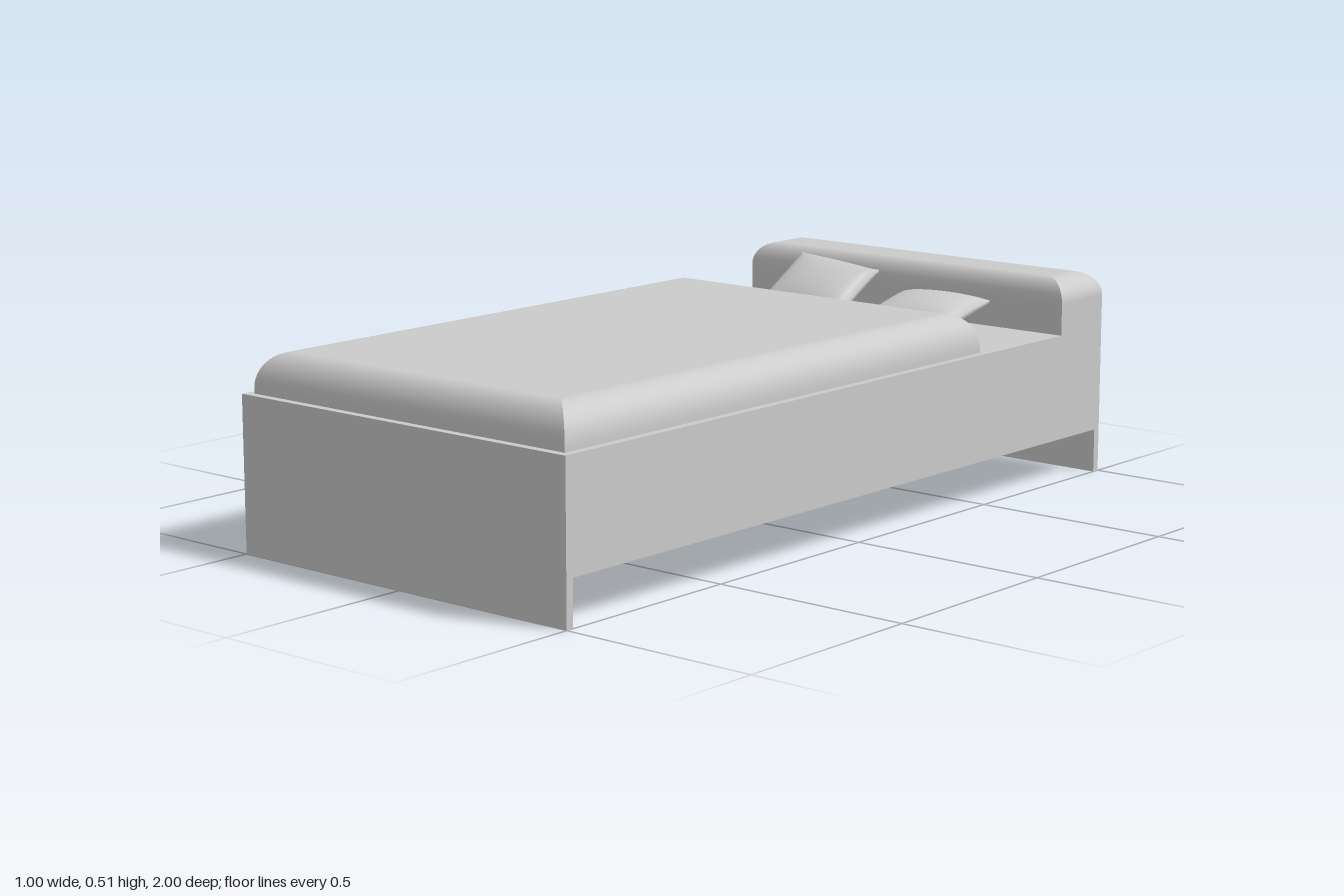
import * as THREE from 'three';
import { mergeVertices } from 'three/addons/utils/BufferGeometryUtils.js';

const material = new THREE.MeshStandardMaterial({ color: 0xcccccc });

function addMesh(parent, name, geometry) {
  const mesh = new THREE.Mesh(geometry, material);
  mesh.name = name;
  parent.add(mesh);
  return mesh;
}

// Plain box given by its lower and upper corners
function addBox(parent, name, [x0, y0, z0], [x1, y1, z1]) {
  const geo = new THREE.BoxGeometry(x1 - x0, y1 - y0, z1 - z0);
  geo.translate((x0 + x1) / 2, (y0 + y1) / 2, (z0 + z1) / 2);
  return addMesh(parent, name, geo);
}

// Box whose sides curve in towards the top, with mitred corners
function paddedBlock(width, height, depth, rx, ry, rz) {
  const rows = 13;
  const geo = new THREE.BoxGeometry(width, height, depth, 1, rows, 1);
  const pos = geo.attributes.position;
  for (let i = 0; i < pos.count; i++) {
    const row = Math.round((pos.getY(i) / height + 0.5) * rows);
    // Row 0 is the foot; the others follow a quarter ellipse
    const a = Math.max(0, (row - 1) / (rows - 1)) * Math.PI / 2;
    const inset = 1 - Math.cos(a);
    const y = row === 0 ? 0 : height - ry + ry * Math.sin(a);
    pos.setXYZ(i,
      Math.sign(pos.getX(i)) * (width / 2 - rx * inset),
      y,
      Math.sign(pos.getZ(i)) * (depth / 2 - rz * inset));
  }
  geo.computeVertexNormals();
  return geo;
}

// Soft cushion: full in the middle, thin at the seam, edges drawn in
function pillowGeometry(width, thickness, depth) {
  let geo = new THREE.BoxGeometry(2, 2, 2, 20, 1, 20);
  const pos = geo.attributes.position;
  for (let i = 0; i < pos.count; i++) {
    const u = pos.getX(i), v = pos.getZ(i);
    const puff = Math.pow(Math.max(0, (1 - u * u) * (1 - v * v)), 0.45);
    pos.setXYZ(i,
      width / 2 * u * (1 - 0.05 * (1 - v * v)),
      Math.sign(pos.getY(i)) * thickness / 2 * (0.12 + 0.88 * puff),
      depth / 2 * v * (1 - 0.05 * (1 - u * u)));
  }
  geo.deleteAttribute('normal');
  geo.deleteAttribute('uv');
  geo = mergeVertices(geo, 1e-5);
  geo.computeVertexNormals();
  return geo;
}

export function createModel() {
  const bed = new THREE.Group();
  bed.name = 'bed';

  // Frame and the two full-width end panels it stands on
  addBox(bed, 'bedBase', [-0.5, 0.11, -0.82], [0.5, 0.375, 0.98]);
  addBox(bed, 'footPanel', [-0.5, 0, 0.98], [0.5, 0.375, 1]);
  addBox(bed, 'headPanel', [-0.5, 0, -1], [0.5, 0.11, -0.98]);

  // Thick rounded headboard
  const headboard = addMesh(bed, 'headboard', paddedBlock(1, 0.405, 0.18, 0.065, 0.06, 0.04));
  headboard.position.set(0, 0.11, -0.91);

  // Duvet over the lower three quarters
  const duvet = addMesh(bed, 'duvet', paddedBlock(0.96, 0.097, 1.48, 0.07, 0.085, 0.065));
  duvet.position.set(0, 0.375, 0.24);

  // One pillow leans on the headboard, the other lies nearly flat
  const pillows = [
    ['rightPillow', [-0.2, 0.437, -0.732], [0.56, -0.02, -0.1]],
    ['leftPillow', [0.168, 0.42, -0.706], [0.17, 0.1, -0.02]],
  ];
  for (const [name, position, rotation] of pillows) {
    const pillow = addMesh(bed, name, pillowGeometry(0.25, 0.075, 0.2));
    pillow.position.set(...position);
    pillow.rotation.set(...rotation);
  }
  return bed;
}
